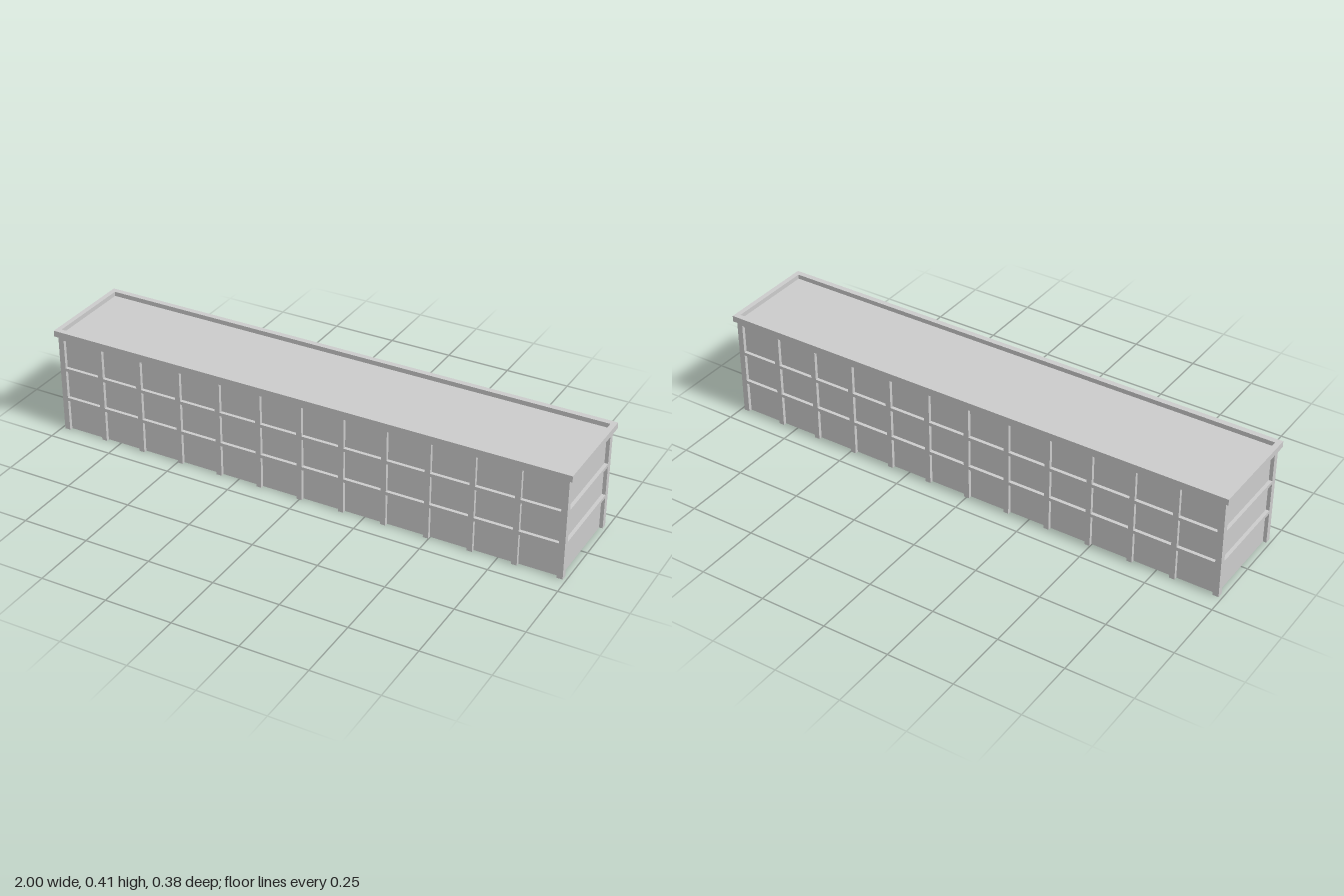
import * as THREE from 'three';

export function createModel() {
  const group = new THREE.Group();
  const material = new THREE.MeshStandardMaterial({ color: 0xcccccc, flatShading: true });

  const X = 0.988, Z = 0.182;      // outer faces of the frame
  const RECESS = 0.013;            // panels sit this far behind the frame
  const POST = 0.022, RAIL = 0.0125;
  const BODY_TOP = 0.383, TOP = 0.406;

  function box(name, w, h, d, x, y, z) {
    const mesh = new THREE.Mesh(new THREE.BoxGeometry(w, h, d), material);
    mesh.name = name;
    mesh.position.set(x, y, z);
    group.add(mesh);
  }

  // Solid core whose faces form the recessed panels
  box('body', 2 * (X - RECESS), BODY_TOP, 2 * (Z - RECESS), 0, BODY_TOP / 2, 0);

  // Square corner posts
  for (const sx of [-1, 1]) for (const sz of [-1, 1]) {
    box('cornerPost', POST, BODY_TOP, POST, sx * (X - POST / 2), BODY_TOP / 2, sz * (Z - POST / 2));
  }

  // Evenly spaced battens along both long sides
  const bays = 12, step = 2 * (X - POST / 2) / bays;
  for (let i = 1; i < bays; i++) {
    for (const s of [-1, 1]) {
      box('batten', 0.02, BODY_TOP, RECESS, (i - bays / 2) * step, BODY_TOP / 2, s * (Z - RECESS / 2));
    }
  }

  // Three levels of horizontal rails around the body
  for (const y of [0.129, 0.2515, BODY_TOP - RAIL / 2]) {
    for (const s of [-1, 1]) {
      box('longRail', 2 * (X - POST), RAIL, RECESS, 0, y, s * (Z - RECESS / 2));
      box('endRail', RECESS, RAIL, 2 * (Z - POST), s * (X - RECESS / 2), y, 0);
    }
  }

  // Raised rim, open in the middle so the body top shows as a sunken lid
  const rect = (path, x, z) => path.moveTo(-x, -z).lineTo(x, -z).lineTo(x, z).lineTo(-x, z).closePath();
  const outline = rect(new THREE.Shape(), 1, 0.19);
  outline.holes.push(rect(new THREE.Path(), 0.981, 0.169));
  const rimGeometry = new THREE.ExtrudeGeometry(outline, { depth: TOP - BODY_TOP, bevelEnabled: false });
  rimGeometry.rotateX(-Math.PI / 2);
  const rim = new THREE.Mesh(rimGeometry, material);
  rim.name = 'topRim';
  rim.position.y = BODY_TOP;
  group.add(rim);

  // Sunken lid
  box('lid', 1.962, 0.006, 0.338, 0, BODY_TOP + 0.003, 0);

  return group;
}
